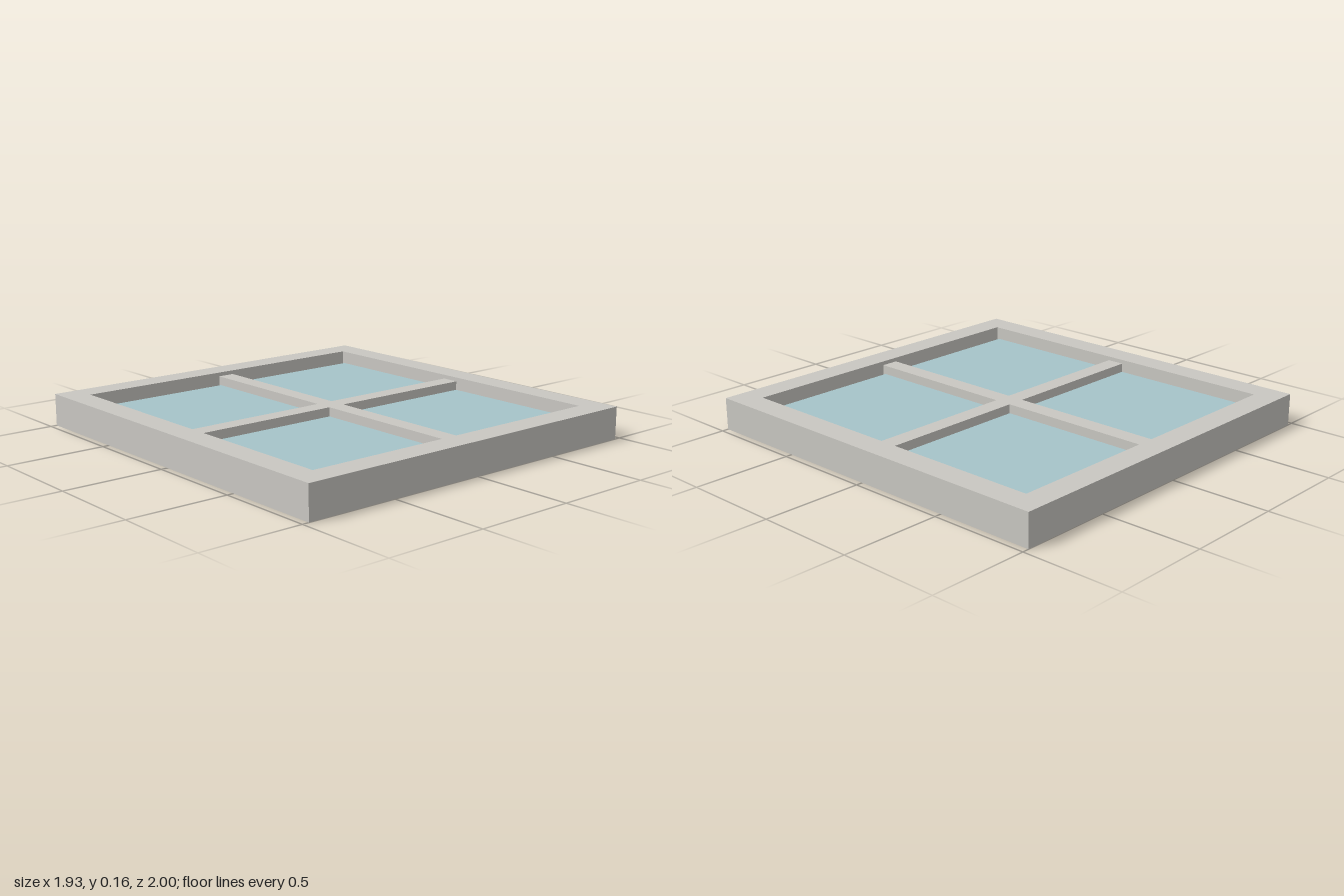
import * as THREE from 'three';

// Half sizes of the outer edge and the opening, and the overall height
const OUT_X = 0.967, OUT_Z = 1, IN_X = 0.84, IN_Z = 0.872, HEIGHT = 0.163;
const BAR = 0.045, BAR_HEIGHT = 0.122, GLASS_Z = 0.857, GLASS_HEIGHT = 0.03;

const rectangle = (path, x, z) =>
  path.moveTo(-x, -z).lineTo(x, -z).lineTo(x, z).lineTo(-x, z).closePath();

// Extrudes a flat outline upwards, centred on mid-height
function slab(name, shape, height, material) {
  const geometry = new THREE.ExtrudeGeometry(shape, { depth: height, bevelEnabled: false });
  geometry.rotateX(-Math.PI / 2).translate(0, (HEIGHT - height) / 2, 0);
  const mesh = new THREE.Mesh(geometry, material);
  mesh.name = name;
  return mesh;
}

export function createModel() {
  const stone = new THREE.MeshStandardMaterial({ color: 0xc9c7c2 });
  stone.name = 'warm grey frame';
  const glass = new THREE.MeshStandardMaterial({ color: 0xa6c4c9 });
  glass.name = 'pale blue glass';

  const group = new THREE.Group();
  group.name = 'window';

  // Outer frame with one rectangular opening
  const frame = rectangle(new THREE.Shape(), OUT_X, OUT_Z);
  frame.holes.push(rectangle(new THREE.Path(), IN_X, IN_Z));
  group.add(slab('frame', frame, HEIGHT, stone));

  // Cross-shaped glazing bars, slightly recessed from both faces
  const cross = new THREE.Shape([
    [BAR, BAR], [BAR, IN_Z], [-BAR, IN_Z], [-BAR, BAR], [-IN_X, BAR], [-IN_X, -BAR],
    [-BAR, -BAR], [-BAR, -IN_Z], [BAR, -IN_Z], [BAR, -BAR], [IN_X, -BAR], [IN_X, BAR],
  ].map(([x, z]) => new THREE.Vector2(x, z)));
  group.add(slab('glazingBars', cross, BAR_HEIGHT, stone));

  // Four panes, leaving a narrow gap at the front and back of the opening
  const width = IN_X - BAR, depth = GLASS_Z - BAR;
  for (const sx of [-1, 1]) {
    for (const sz of [-1, 1]) {
      const pane = new THREE.Mesh(new THREE.BoxGeometry(width, GLASS_HEIGHT, depth), glass);
      pane.position.set(sx * (BAR + width / 2), HEIGHT / 2, sz * (BAR + depth / 2));
      pane.name = `${sz > 0 ? 'front' : 'back'}${sx > 0 ? 'Left' : 'Right'}Pane`;
      group.add(pane);
    }
  }
  return group;
}
